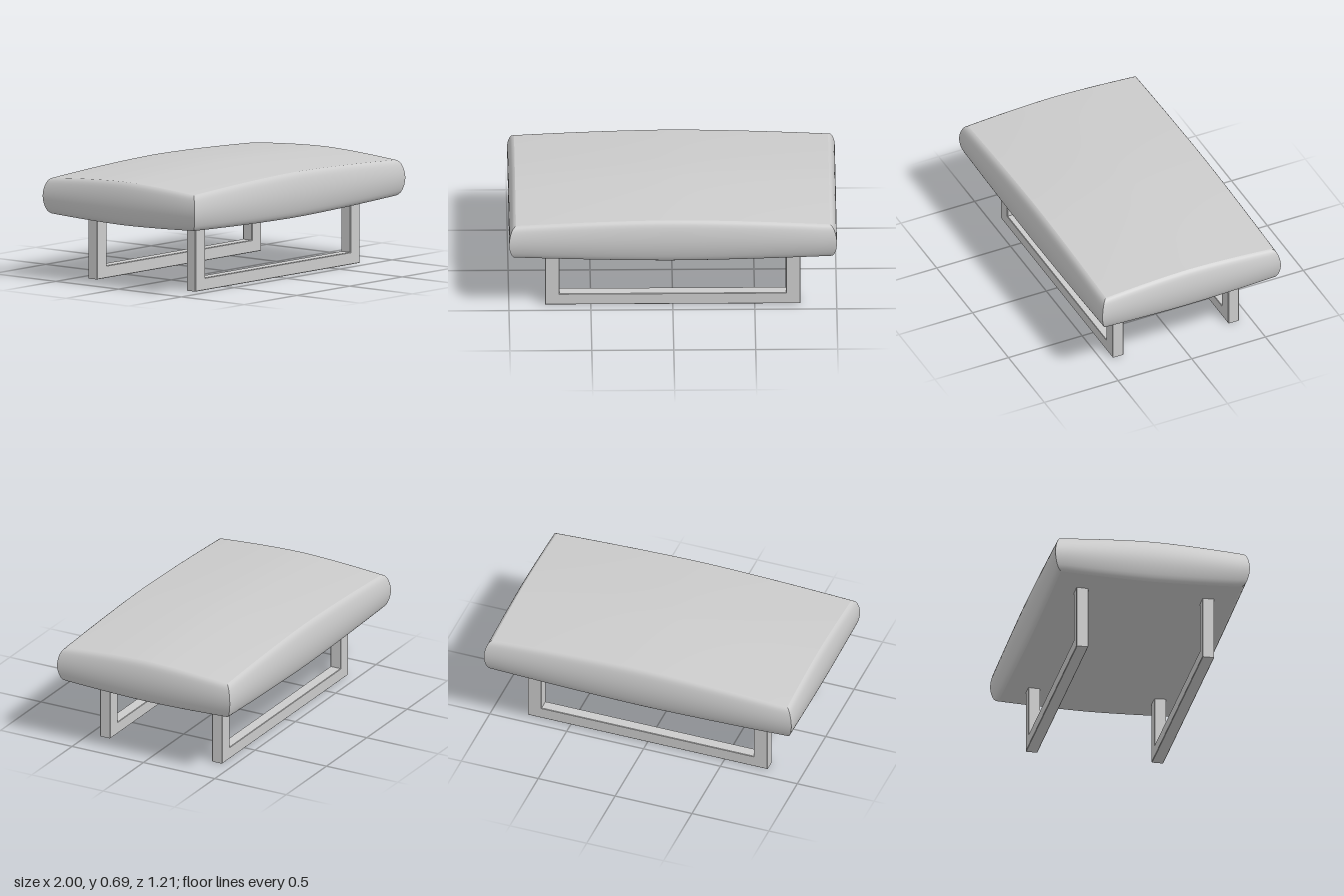
import * as THREE from 'three';

const material = new THREE.MeshStandardMaterial({ color: 0xcccccc });

// Pillow-like slab: crowned top and bottom, bulging sides, mitred corners
function createCushion() {
  const halfX = 1, halfZ = 0.605;
  const geo = new THREE.BoxGeometry(2, 2, 2, 24, 16, 20);
  const pos = geo.attributes.position;
  for (let i = 0; i < pos.count; i++) {
    const u = pos.getX(i), v = pos.getY(i), w = pos.getZ(i);
    const fx = Math.abs(u) ** 1.6, fz = Math.abs(w) ** 1.6;
    const top = 0.692 - 0.034 * fx - 0.03 * fz;
    const bottom = 0.364 + 0.026 * fx + 0.018 * fz;
    // rows gather towards the rims, where the edge rolls over
    const t = Math.sin(v * Math.PI / 2);
    const inset = 0.028 * t * t + 0.014 * Math.abs(t) ** 14;
    pos.setXYZ(i,
      u * (halfX - inset),
      THREE.MathUtils.lerp(bottom, top, (t + 1) / 2),
      w * (halfZ - inset));
  }
  geo.computeVertexNormals();
  const cushion = new THREE.Mesh(geo, material);
  cushion.name = 'cushion';
  return cushion;
}

// U-shaped sled frame with a slightly eased edge
function createLegFrame() {
  const b = 0.003, depth = 0.073;
  const outer = 0.78 - b, inner = 0.69 + b, height = 0.4 - b, bar = 0.075 - b;
  const shape = new THREE.Shape([
    [-outer, b], [outer, b], [outer, height], [inner, height],
    [inner, bar], [-inner, bar], [-inner, height], [-outer, height],
  ].map(([x, y]) => new THREE.Vector2(x, y)));
  const geo = new THREE.ExtrudeGeometry(shape, {
    depth: depth - 2 * b, bevelEnabled: true, bevelThickness: b, bevelSize: b, bevelSegments: 1,
  });
  geo.translate(0, 0, -depth / 2 + b);
  return new THREE.Mesh(geo, material);
}

export function createModel() {
  const group = new THREE.Group();
  group.name = 'ottoman';
  group.add(createCushion());
  for (const [name, side] of [['frontLegFrame', 1], ['backLegFrame', -1]]) {
    const frame = createLegFrame();
    frame.name = name;
    frame.position.z = side * 0.392;
    group.add(frame);
  }
  return group;
}
